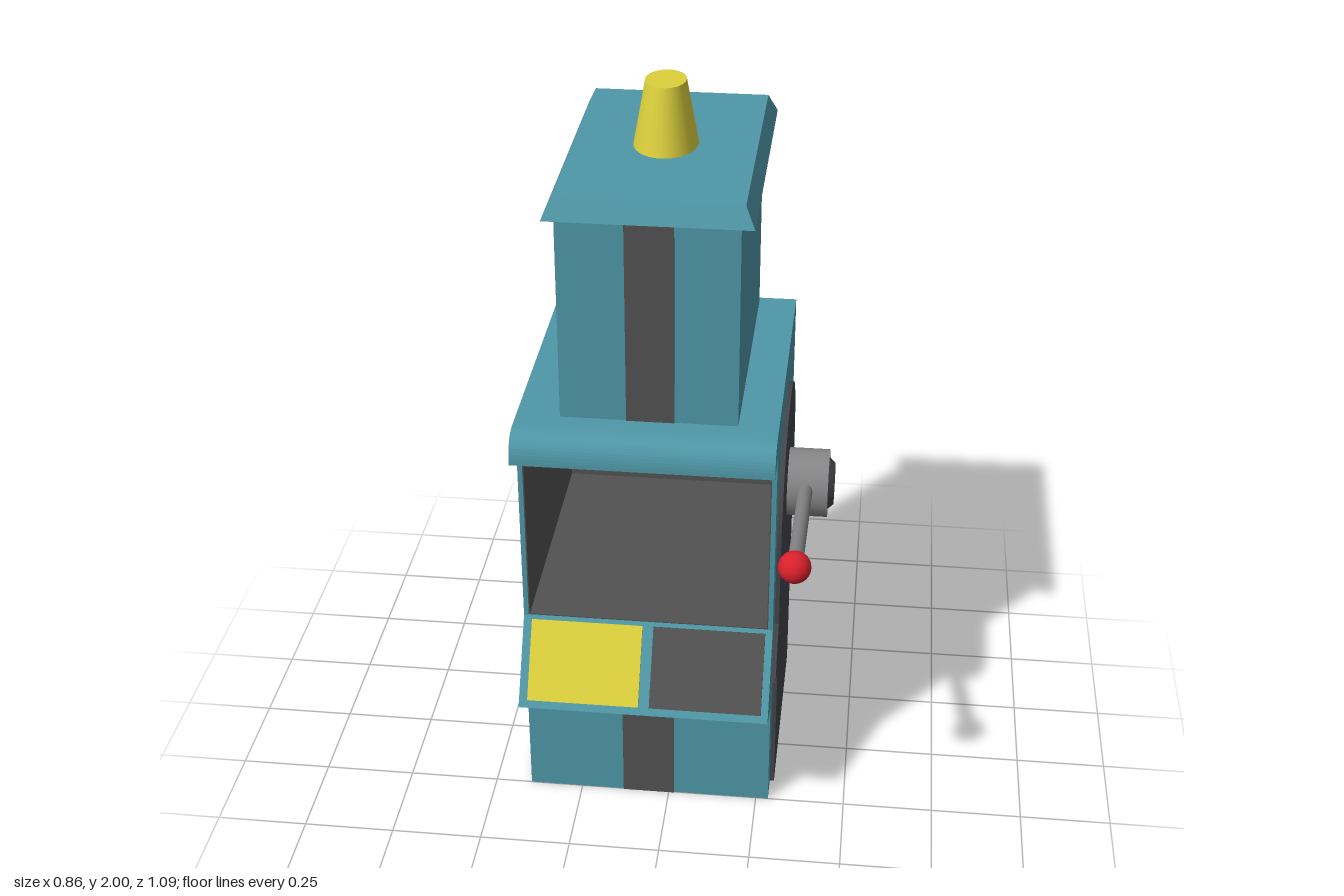
import * as THREE from 'three';

const mat = (color) => new THREE.MeshStandardMaterial({ color, flatShading: false });

export function createModel() {
  const model = new THREE.Group();
  const teal = mat(0x4f97a7), grey = mat(0x525252), dark = mat(0x42444a);
  const yellow = mat(0xddd03c), metal = mat(0x868686), red = mat(0xd9202a);

  function add(name, geometry, material, x = 0, y = 0, z = 0) {
    const mesh = new THREE.Mesh(geometry, material);
    mesh.name = name;
    mesh.position.set(x, y, z);
    model.add(mesh);
    return mesh;
  }
  // Box given by its extents
  const box = (name, material, x0, x1, y0, y1, z0, z1) =>
    add(name, new THREE.BoxGeometry(x1 - x0, y1 - y0, z1 - z0), material,
      (x0 + x1) / 2, (y0 + y1) / 2, (z0 + z1) / 2);
  // Extrude a (z, y) outline across x0..x1
  function slab(name, material, shape, x0, x1) {
    const g = new THREE.ExtrudeGeometry(shape, { depth: x1 - x0, bevelEnabled: false, curveSegments: 14 });
    g.rotateY(-Math.PI / 2);
    return add(name, g, material, x1, 0, 0);
  }

  // Cabinet side outline, optionally with the deep alcove cut from the front
  function cabinetShape(hollow) {
    const s = new THREE.Shape();
    s.moveTo(-0.52, 0);
    s.lineTo(0.25, 0);
    s.lineTo(0.25, 0.325);
    s.lineTo(0.385, 0.375);
    s.lineTo(0.25, 0.59);
    if (hollow) {
      s.lineTo(-0.5, 0.59);
      s.lineTo(-0.5, 1.13);
    }
    s.lineTo(0.25, 1.13);
    s.lineTo(0.355, 1.13);
    s.bezierCurveTo(0.355, 1.18, 0.335, 1.21, 0.285, 1.21);
    s.lineTo(-0.52, 1.21);
    s.closePath();
    return s;
  }
  slab('cabinetBody', teal, cabinetShape(true), -0.385, 0.272);
  slab('cabinetLeftWall', teal, cabinetShape(false), 0.272, 0.285);
  slab('cabinetRightWall', teal, cabinetShape(false), -0.398, -0.385);

  // Dark lining of the alcove
  box('alcoveFloor', grey, -0.385, 0.272, 0.588, 0.593, -0.5, 0.247);
  box('alcoveCeiling', grey, -0.385, 0.272, 1.127, 1.132, -0.5, 0.247);
  box('alcoveBack', grey, -0.385, 0.272, 0.59, 1.13, -0.502, -0.497);
  for (const x of [-0.387, 0.269]) box('alcoveSide', grey, x, x + 0.005, 0.59, 1.13, -0.5, 0.247);

  // Sloped console panels
  const slope = Math.atan2(0.135, 0.215);
  for (const [x, m, name] of [[-0.222, yellow, 'consoleYellowPanel'], [0.113, grey, 'consoleGreyPanel']]) {
    const p = add(name, new THREE.BoxGeometry(0.305, 0.222, 0.01), m, x, 0.488, 0.316);
    p.rotation.x = -slope;
  }

  // Front stripes on base and tower
  box('baseStripe', grey, -0.13, 0.015, 0, 0.326, 0.24, 0.253);
  box('towerStripe', grey, -0.11, 0.015, 1.21, 1.778, 0.22, 0.233);

  // Arched side panels with the pointed notch
  const arch = new THREE.Shape();
  arch.moveTo(-0.44, 0);
  arch.lineTo(0.17, 0);
  arch.lineTo(0.17, 0.39);
  arch.lineTo(0.258, 0.42);
  arch.lineTo(0.17, 0.555);
  arch.lineTo(0.17, 0.805);
  arch.absarc(-0.135, 0.805, 0.305, 0, Math.PI, false);
  arch.closePath();
  slab('leftSidePanel', dark, arch, 0.283, 0.297);
  slab('rightSidePanel', dark, arch, -0.41, -0.396);

  // Tower and flared roof
  box('tower', teal, -0.283, 0.18, 1.2, 1.79, -0.5, 0.23);
  const roof = new THREE.BoxGeometry(0.525, 0.053, 0.81).toNonIndexed();
  const rp = roof.attributes.position;
  for (let i = 0; i < rp.count; i++) {
    if (rp.getY(i) > 0) rp.setXYZ(i, rp.getX(i) * 0.905, rp.getY(i), rp.getZ(i) * 0.93);
  }
  roof.computeVertexNormals();
  add('roof', roof, teal, -0.047, 1.8015, -0.137);

  // Oval beacon
  const beacon = add('beacon', new THREE.CylinderGeometry(0.053, 0.085, 0.175, 32), yellow, -0.047, 1.9125, -0.14);
  beacon.scale.z = 1.3;

  // Oval hubs on both sides, axis along x
  function hub(name, material, x0, x1, r0, r1) {
    const g = new THREE.CylinderGeometry(r1, r0, x1 - x0, 24);
    g.rotateZ(-Math.PI / 2);
    g.scale(1, 1, 0.9);
    add(name, g, material, (x0 + x1) / 2, 0.83, -0.138);
  }
  hub('leverHub', metal, 0.285, 0.41, 0.098, 0.098);
  hub('hubCapRim', dark, 0.41, 0.426, 0.075, 0.06);
  hub('rightHub', metal, -0.43, -0.4, 0.098, 0.098);

  // Lever and knob
  const start = new THREE.Vector3(0.348, 0.833, -0.135), end = new THREE.Vector3(0.348, 0.973, 0.507);
  const dir = end.clone().sub(start);
  const mid = start.clone().add(end).multiplyScalar(0.5);
  const lever = add('leverRod', new THREE.CylinderGeometry(0.02, 0.02, dir.length(), 16), metal, mid.x, mid.y, mid.z);
  lever.quaternion.setFromUnitVectors(new THREE.Vector3(0, 1, 0), dir.normalize());
  add('leverKnob', new THREE.SphereGeometry(0.042, 24, 16), red, end.x, end.y, end.z);

  return model;
}
